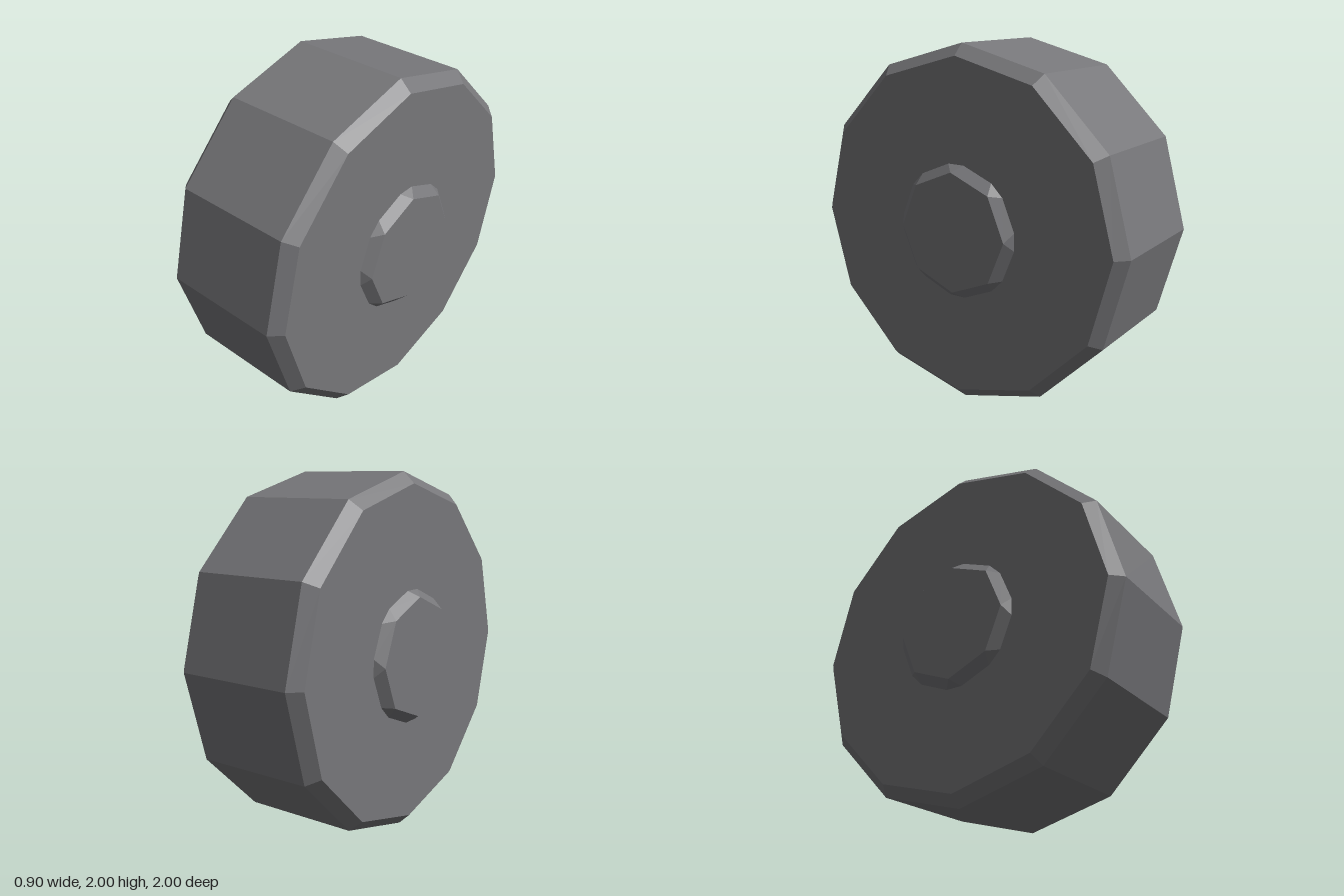
import * as THREE from 'three';

// Octagonal boss with chamfered corners, facing +x
function hubGeometry(xBase, xFace, rBase, rFace) {
  const pos = [];
  const spread = THREE.MathUtils.degToRad(7.6);
  const point = (x, r, a) => [x, r * Math.cos(a), r * Math.sin(a)];
  const tri = (...corners) => corners.forEach((c) => pos.push(...c));
  for (let i = 0; i < 8; i++) {
    const a = (i * Math.PI) / 4;
    const b = a + Math.PI / 4;
    const faceA = point(xFace, rFace, a);
    const faceB = point(xFace, rFace, b);
    const cornerA = point(xBase, rBase, a - spread);
    const baseA = point(xBase, rBase, a + spread);
    const baseB = point(xBase, rBase, b - spread);
    tri([xFace, 0, 0], faceA, faceB); // flat face
    tri(faceA, baseA, baseB); // sloped side
    tri(faceA, baseB, faceB);
    tri(faceA, cornerA, baseA); // corner chamfer
  }
  const geometry = new THREE.BufferGeometry();
  geometry.setAttribute('position', new THREE.Float32BufferAttribute(pos, 3));
  geometry.computeVertexNormals();
  return geometry;
}

export function createModel() {
  const model = new THREE.Group();
  model.name = 'wheel';
  const rubber = new THREE.MeshStandardMaterial({ color: 0x77777a, flatShading: true });
  rubber.name = 'dark grey';

  // Twelve-sided tyre with bevelled rims, turned onto the x axis
  const profile = [[0, -0.4], [0.937, -0.4], [1, -0.335], [1, 0.335], [0.937, 0.4], [0, 0.4]]
    .map(([r, h]) => new THREE.Vector2(r, h));
  const tyreGeometry = new THREE.LatheGeometry(profile, 12);
  tyreGeometry.rotateZ(-Math.PI / 2);
  const tyre = new THREE.Mesh(tyreGeometry, rubber);
  tyre.name = 'tyre';
  tyre.position.y = 1;
  model.add(tyre);

  // Hub caps on both sides
  const hub = hubGeometry(0.4, 0.45, 0.373, 0.335);
  for (const side of ['left', 'right']) {
    const cap = new THREE.Mesh(hub, rubber);
    cap.name = side + 'HubCap';
    cap.position.y = 1;
    cap.rotation.y = side === 'left' ? 0 : Math.PI;
    model.add(cap);
  }
  return model;
}
